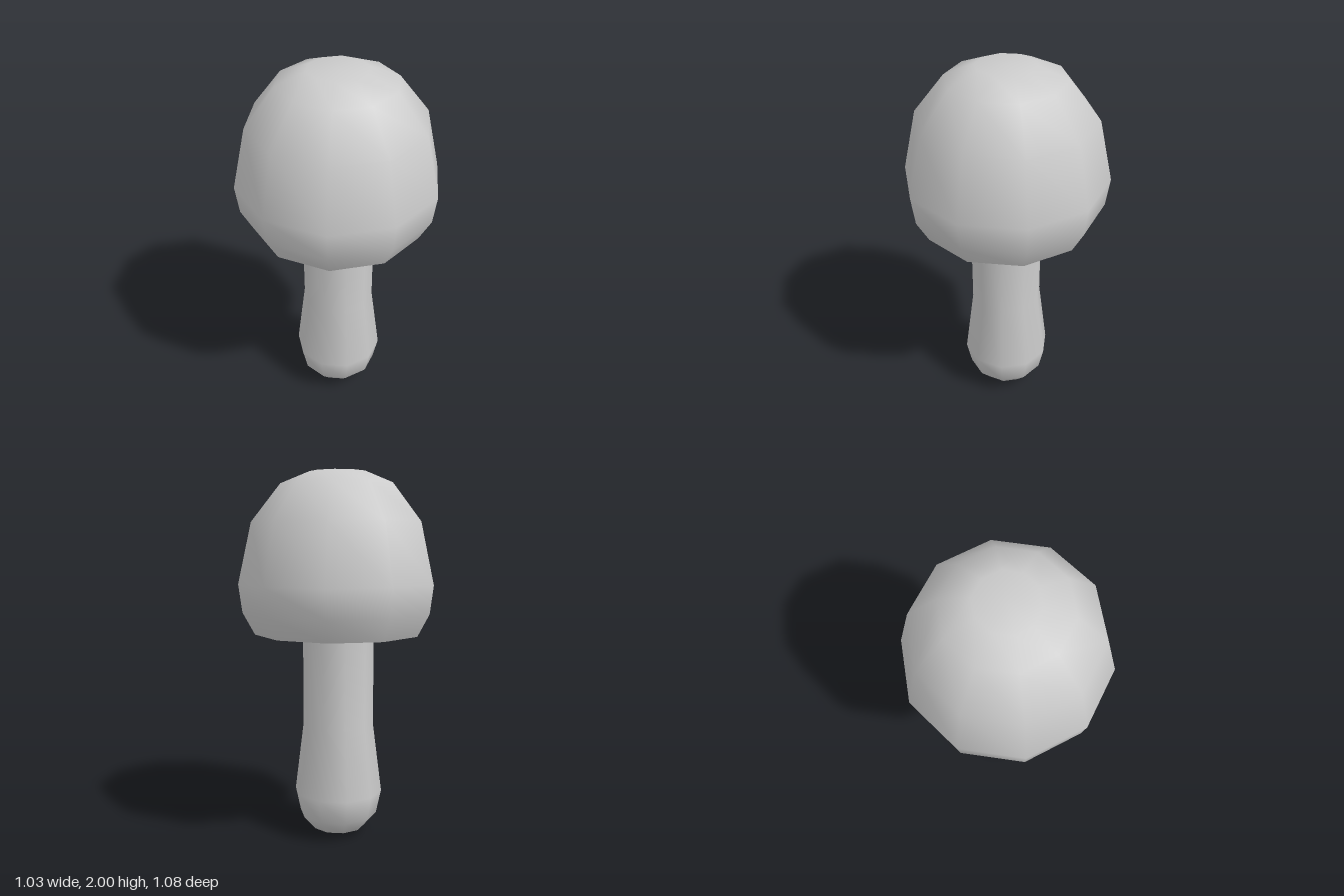
import * as THREE from 'three';

const SIDES = 10;

export function createModel() {
  const model = new THREE.Group();
  model.name = 'mushroom';
  const material = new THREE.MeshStandardMaterial({ color: 0xcccccc });

  // Turns a [radius, height] profile around the y axis
  const turn = (name, profile, parent, start = 0) => {
    const points = profile.map(([r, y]) => new THREE.Vector2(r, y));
    const mesh = new THREE.Mesh(new THREE.LatheGeometry(points, SIDES, start), material);
    mesh.name = name;
    parent.add(mesh);
  };

  // Stem with a swollen, rounded foot; corners point along x
  turn('stem', [
    [0, 0.005], [0.145, 0.04], [0.215, 0.12], [0.243, 0.25],
    [0.195, 0.63], [0.195, 1.2], [0.195, 1.95],
  ], model, Math.PI / 2);

  // Hollow cap; corners point along z
  const cap = new THREE.Group();
  cap.name = 'cap';
  model.add(cap);

  const outer = [
    [0.455, 1.14], [0.52, 1.26], [0.54, 1.41],
    [0.467, 1.735], [0.31, 1.935], [0.155, 2], [0, 2],
  ];
  const inner = [
    [0, 1.975], [0.15, 1.975], [0.295, 1.915], [0.444, 1.725],
    [0.515, 1.41], [0.496, 1.265], [0.432, 1.14],
  ];
  turn('capOuter', outer, cap);
  turn('capInner', inner, cap);
  turn('capRim', [inner[inner.length - 1], outer[0]], cap);

  return model;
}
